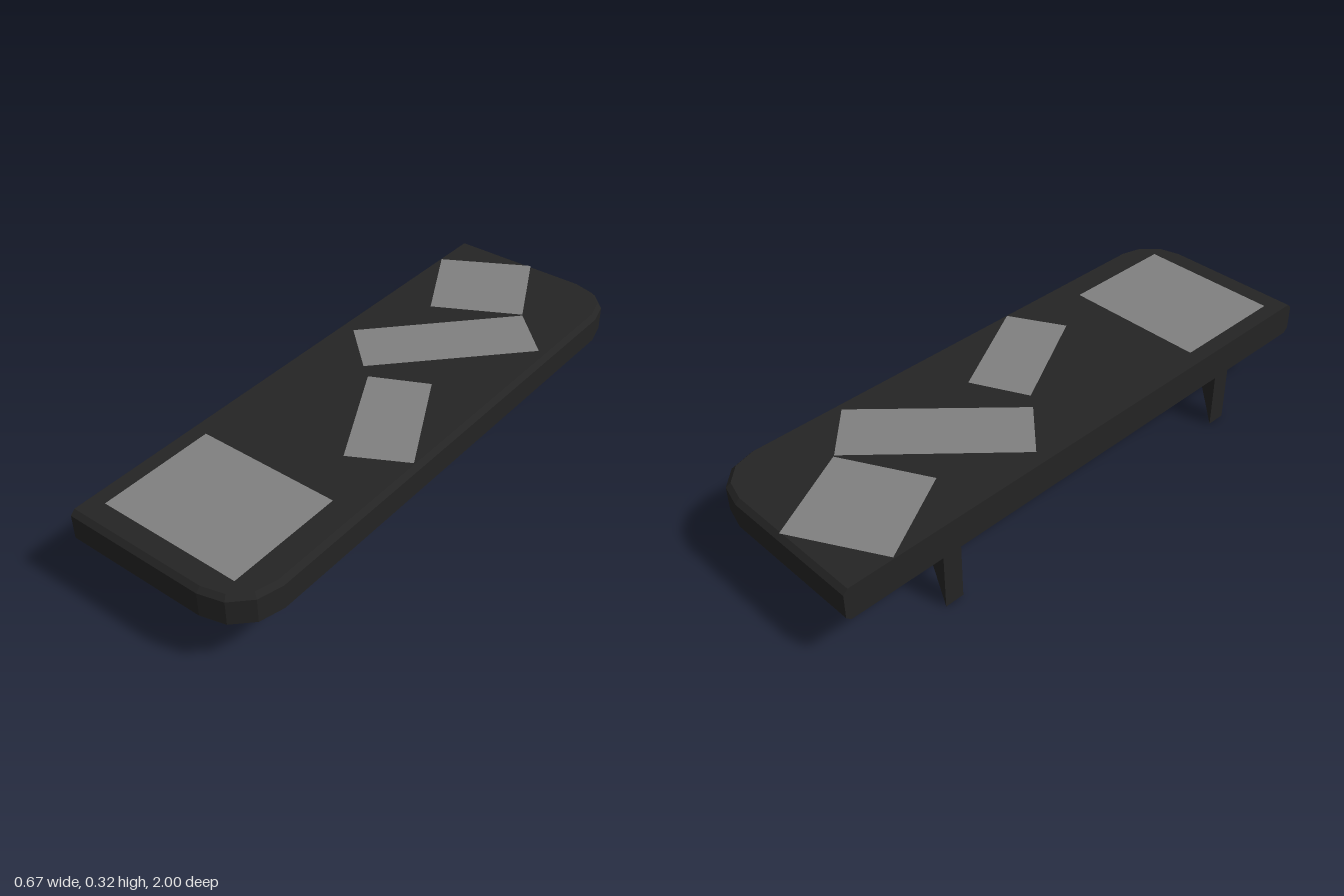
import * as THREE from 'three';

const BACK = -0.334, TOP = 0.316, BOTTOM = 0.199, BEVEL = 0.016;

// Board outline (x, z), inset on every edge except the straight back
function outline(inset) {
  const pts = [[BACK, 1 - inset]];
  const r = 0.165 - inset;
  for (const side of [1, -1]) {
    for (let i = 0; i <= 3; i++) {
      const a = (side > 0 ? 3 - i : i) * Math.PI / 6;
      pts.push([0.168 + r * Math.cos(a), side * (0.835 + r * Math.sin(a))]);
    }
  }
  pts.push([BACK, -(1 - inset)]);
  return pts;
}

// Bevelled slab stacked from four outlines
function boardGeometry() {
  const levels = [[BOTTOM, BEVEL], [BOTTOM + BEVEL, 0], [TOP - BEVEL, 0], [TOP, BEVEL]];
  const rings = levels.map(([y, inset]) => outline(inset).map(([x, z]) => [x, y, z]));
  const pos = [];
  const tri = (a, b, c) => pos.push(...a, ...b, ...c);
  const n = rings[0].length;
  for (let k = 0; k < 3; k++) {
    for (let i = 0; i < n; i++) {
      const j = (i + 1) % n, lo = rings[k], hi = rings[k + 1];
      tri(lo[i], lo[j], hi[j]);
      tri(lo[i], hi[j], hi[i]);
    }
  }
  for (let i = 1; i < n - 1; i++) {
    tri(rings[3][0], rings[3][i], rings[3][i + 1]);
    tri(rings[0][0], rings[0][i + 1], rings[0][i]);
  }
  const g = new THREE.BufferGeometry();
  g.setAttribute('position', new THREE.Float32BufferAttribute(pos, 3));
  g.computeVertexNormals();
  return g;
}

const toShape = (pts) => new THREE.Shape(pts.map(([x, y]) => new THREE.Vector2(x, y)));

export function createModel() {
  const group = new THREE.Group();
  const charcoal = new THREE.MeshStandardMaterial({ color: 0x242424 });
  charcoal.name = 'charcoal';
  const paperGrey = new THREE.MeshStandardMaterial({ color: 0x808080 });
  paperGrey.name = 'paperGrey';

  const add = (name, geometry, material) => {
    const mesh = new THREE.Mesh(geometry, material);
    mesh.name = name;
    group.add(mesh);
    return mesh;
  };

  add('shelfBoard', boardGeometry(), charcoal);

  // Two wedge brackets under the back edge
  const profile = toShape([[BACK, 0], [-0.285, 0.135], [-0.012, BOTTOM + 0.001], [BACK, BOTTOM + 0.001]]);
  const bracket = new THREE.ExtrudeGeometry(profile, { depth: 0.068, bevelEnabled: false });
  bracket.translate(0, 0, -0.034);
  add('leftBracket', bracket, charcoal).position.z = -0.62;
  add('rightBracket', bracket, charcoal).position.z = 0.62;

  // Flat sheets lying on the board, corners as (x, z)
  const sheets = {
    squareSheet: [[-0.035, -0.99], [0.125, -0.68], [-0.165, -0.525], [-0.33, -0.825]],
    longSheet: [[0.128, -0.675], [0.292, -0.52], [-0.122, -0.083], [-0.286, -0.233]],
    smallSheet: [[0.118, -0.14], [0.314, 0.223], [0.125, 0.326], [-0.074, -0.046]],
    largeSheet: [[-0.28, 0.503], [0.23, 0.503], [0.23, 0.916], [-0.28, 0.916]],
  };
  for (const [name, corners] of Object.entries(sheets)) {
    const g = new THREE.ShapeGeometry(toShape(corners.map(([x, z]) => [x, -z])));
    g.rotateX(-Math.PI / 2);
    add(name, g, paperGrey).position.y = TOP + 0.002;
  }

  return group;
}
